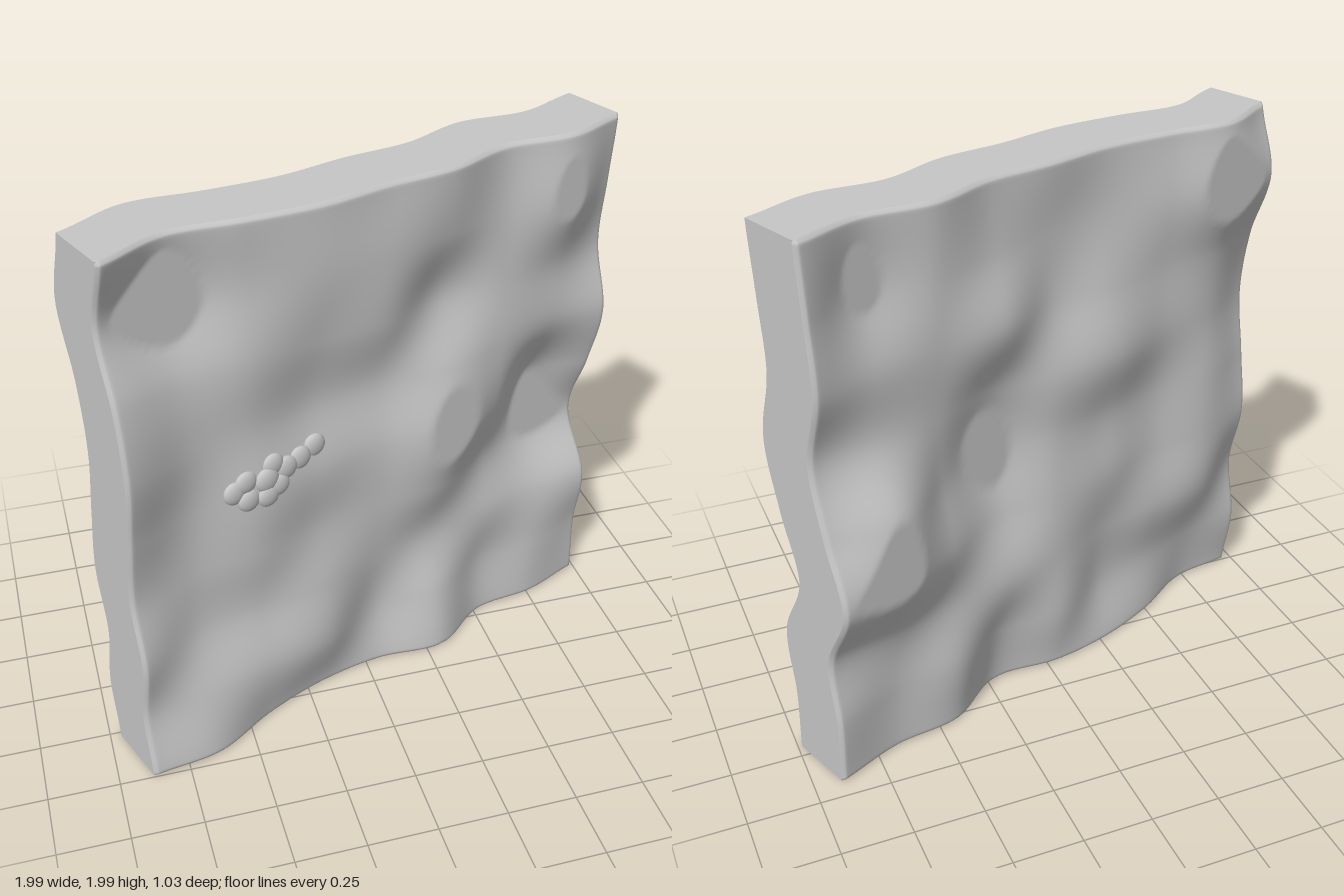
import * as THREE from 'three';

const WIDTH = 1.99, HEIGHT = 1.985, THICK = 0.268, BEVEL = 0.015, TURN = Math.PI / 9;

// Front relief in hundredths: rows from top to bottom, columns from right side to left side
const RELIEF = [
  [14.5, 8, 14, 18.5, 18.5, 20.5, 16.5, 22, 18],
  [8, 4, 12, 18, 20, 18.5, 17, 24, 16],
  [15.5, 11, 14, 14.5, 18.5, 13, 17, 18, 14.5],
  [18.5, 12.5, 13, 10.5, 13.5, 21, 19, 17.5, 20.5],
  [15.5, 11, 16, 15, 16, 25, 18.5, 7, 15],
  [13, 10.5, 15, 13.5, 15, 20, 13, 6, 7.5],
  [17.5, 11, 13, 16.5, 13.5, 14, 16.5, 16, 18.5],
  [14, 17.5, 17.5, 18, 12, 19.5, 13.5, 18, 16],
  [17.5, 21, 15, 12.5, 15, 23, 15, 18.5, 16.5],
];

// Catmull-Rom through four values
function cubic(a, b, c, d, t) {
  return b + 0.5 * t * (c - a + t * (2 * a - 5 * b + 4 * c - d + t * (3 * (b - c) + d - a)));
}

// Bicubic relief, cut flat at its lowest and highest levels; u and v run 0..1
function relief(u, v) {
  const n = RELIEF.length - 1;
  const at = (i) => THREE.MathUtils.clamp(i, 0, n);
  const i = Math.min(Math.floor(u * n), n - 1), j = Math.min(Math.floor(v * n), n - 1);
  const rows = [-1, 0, 1, 2].map((k) => {
    const r = RELIEF[at(j + k)];
    return cubic(r[at(i - 1)], r[i], r[i + 1], r[at(i + 2)], u * n - i);
  });
  return THREE.MathUtils.clamp(cubic(...rows, v * n - j) / 100, 0.072, 0.228);
}

// Wavy slab: both faces follow the relief, with softly rounded rims
function slabGeometry() {
  const geo = new THREE.BoxGeometry(2, 2, 2, 120, 120, 1);
  const p = geo.attributes.position;
  const ease = (s) => 0.5 * s + 0.5 * Math.sin(s * Math.PI / 2); // finer grid at the rims
  for (let i = 0; i < p.count; i++) {
    const s = ease(p.getX(i)), t = ease(p.getY(i)), side = Math.sign(p.getZ(i));
    const d = Math.max(0, Math.min((1 - Math.abs(s)) * WIDTH / 2, (1 - Math.abs(t)) * HEIGHT / 2));
    const k = Math.max(0, BEVEL - d);
    const drop = BEVEL - Math.sqrt(BEVEL * BEVEL - k * k);
    const f = relief((s + 1) / 2, (1 - t) / 2);
    const z = side > 0 ? f - drop : f - THICK + drop;
    p.setXYZ(i, s * WIDTH / 2, (t + 1) * HEIGHT / 2, z);
  }
  geo.computeVertexNormals();
  return geo;
}

export function createModel() {
  const model = new THREE.Group();
  model.name = 'wavySlab';
  const stone = new THREE.MeshStandardMaterial({ color: 0xc6c6c6 });
  stone.name = 'stone grey';

  const slab = new THREE.Mesh(slabGeometry(), stone);
  slab.name = 'slab';
  model.add(slab);

  // Cluster of low pebbly lumps on the front: across, height, radius
  const lumps = new THREE.Group();
  lumps.name = 'lumpCluster';
  const lumpGeo = new THREE.SphereGeometry(1, 20, 14);
  [
    [-0.59, 1.03, 0.044], [-0.55, 1.06, 0.042], [-0.545, 0.99, 0.042], [-0.475, 0.985, 0.042],
    [-0.475, 1.045, 0.046], [-0.445, 1.09, 0.042], [-0.43, 1.01, 0.04], [-0.395, 1.06, 0.044],
    [-0.335, 1.07, 0.044], [-0.27, 1.09, 0.044],
  ].forEach(([x, y, r]) => {
    const lump = new THREE.Mesh(lumpGeo, stone);
    lump.name = 'lump';
    lump.position.set(x, y, relief(x / WIDTH + 0.5, 1 - y / HEIGHT) - 0.004);
    lump.scale.set(r, r, r * 0.45);
    lumps.add(lump);
  });
  model.add(lumps);

  model.rotation.y = TURN;
  const root = new THREE.Group();
  root.name = 'model';
  root.add(model);
  return root;
}
